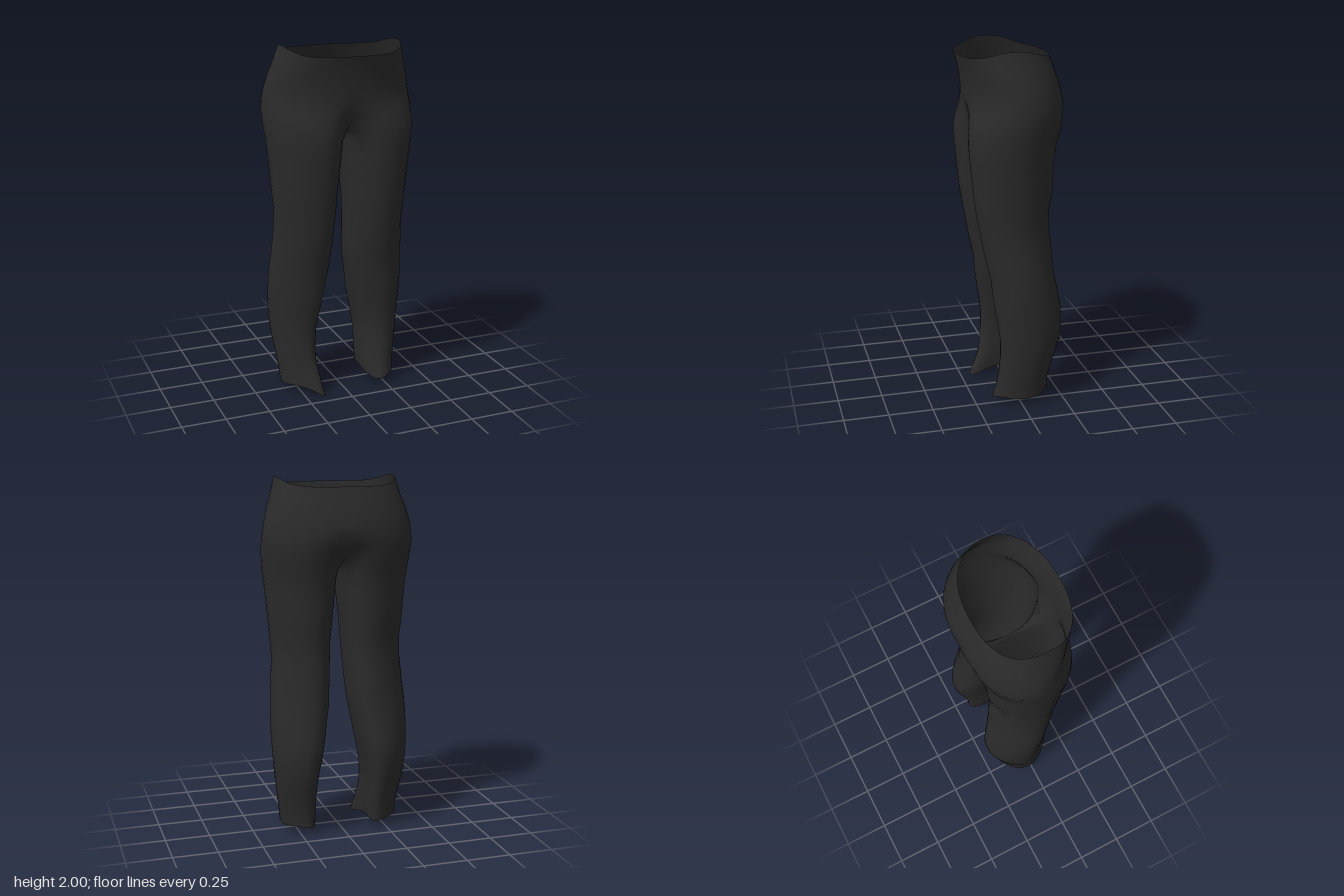
import * as THREE from 'three';
import { mergeVertices } from 'three/addons/utils/BufferGeometryUtils.js';

const OUTER = 24;               // samples from the front seam round the hip to the back seam
const INNER = 12;               // samples along the inside of the leg
const OPEN = 0.87;              // angle at which the leg meets the centre seam

// Each leg: its side, how far the hem dips, and how far its front and back lean inwards
const SIDES = [
  { side: 1, dip: 0.014, front: -0.005, back: 0.035 },
  { side: -1, dip: 0.043, front: 0.05, back: 0.045 },
];

// Hip sections: [y, half width, front z, back z, blend towards leg shape, roundness]
const HIPS = [
  [1.955, 0.335, 0.288, -0.2, 0, 0.85],
  [1.9, 0.362, 0.272, -0.222, 0, 0.88],
  [1.83, 0.39, 0.258, -0.25, 0, 0.94],
  [1.76, 0.41, 0.253, -0.274, 0.03, 1],
  [1.7, 0.42, 0.254, -0.284, 0.13, 1],
  [1.64, 0.425, 0.262, -0.276, 0.4, 1],
  [1.575, 0.421, 0.27, -0.25, 0.85, 1],
];

// Leg sections: [y, inner x, outer x, front z, back z]
const LEGS = [
  [1.49, 0.008, 0.413, 0.271, -0.22],
  [1.4, 0.018, 0.402, 0.265, -0.207],
  [1.3, 0.029, 0.392, 0.255, -0.203],
  [1.2, 0.04, 0.383, 0.245, -0.199],
  [1.1, 0.047, 0.374, 0.232, -0.178],
  [1.0, 0.053, 0.37, 0.213, -0.184],
  [0.9, 0.058, 0.377, 0.195, -0.195],
  [0.82, 0.063, 0.383, 0.178, -0.2],
  [0.74, 0.068, 0.391, 0.158, -0.21],
  [0.65, 0.086, 0.394, 0.15, -0.227],
  [0.55, 0.103, 0.393, 0.137, -0.245],
  [0.48, 0.117, 0.39, 0.124, -0.25],
  [0.38, 0.139, 0.382, 0.113, -0.24],
  [0.29, 0.15, 0.372, 0.113, -0.216],
  [0.2, 0.152, 0.358, 0.12, -0.19],
  [0.12, 0.15, 0.346, 0.128, -0.172],
  [0.05, 0.16, 0.338, 0.138, -0.17],
];

// Point on an oval section; angle 0 is the front, 90 degrees the outside
function ovalPoint(t, y, xi, xo, zf, zb, roundness = 1) {
  const bend = (v) => Math.sign(v) * Math.pow(Math.abs(v), roundness);
  return new THREE.Vector3(
    (xi + xo) / 2 + (xo - xi) / 2 * bend(Math.sin(t)), y,
    (zf + zb) / 2 + (zf - zb) / 2 * bend(Math.cos(t)));
}

// Oval whose front and back lean towards the other leg
function legPoint(t, y, xi, xo, zf, zb, leg) {
  const p = ovalPoint(t, y, xi, xo, zf, zb);
  const c = Math.cos(t);
  p.x -= (c > 0 ? leg.front : leg.back) * c * c;
  return p;
}
const outerAngle = (j) => -OPEN + (j / OUTER) * (Math.PI + 2 * OPEN);
const innerAngle = (j) => Math.PI + OPEN + (j / INNER) * (Math.PI - 2 * OPEN);

// Half ring of the hip, ending on the centre line at front and back
function hipRing([y, x, zf, zb, w, roundness], index, leg) {
  const ring = [];
  for (let j = 0; j <= OUTER; j++) {
    const t = (j / OUTER) * Math.PI;
    const lift = index === 0 ? 0.045 * Math.pow(Math.sin(t), 6) : 0;
    const p = ovalPoint(t, y + lift, -x, x, zf, zb, roundness);
    p.lerp(legPoint(outerAngle(j), y + lift, 0, x, zf, zb, leg), w);
    if (j === 0 || j === OUTER) p.x = 0;
    ring.push(p);
  }
  // Both sides share the same seam on the centre line
  return ring;
}

// Closed ring of a leg; the hem is drawn forward and down at its inner front
function legRing([y, xi, xo, zf, zb], index, leg) {
  const ring = [];
  for (let j = 0; j < OUTER + INNER; j++) {
    const t = j < OUTER ? outerAngle(j) : innerAngle(j - OUTER);
    const p = legPoint(t, y, xi, xo, zf, zb, leg);
    p.x = Math.max(p.x, xi);
    if (index >= LEGS.length - 2) {
      const k = index === LEGS.length - 1 ? 1 : 0.3;
      const pull = leg.dip * k * Math.pow(Math.max(0, Math.cos(t + 0.55)), 3);
      p.add(new THREE.Vector3(-0.6 * pull, -pull, 1.6 * pull));
      if (k === 1) p.y += 0.005 * Math.sin(3 * t);
    }
    ring.push(p);
  }
  ring.push(ring[0].clone());
  return ring;
}

// Add the band of faces between two rings, mirrored for the right side
function addBand(out, upper, lower, side) {
  const put = (...points) => {
    if (side < 0) points.reverse();
    for (const p of points) out.push(p.x * side, p.y, p.z);
  };
  for (let j = 0; j < upper.length - 1; j++) {
    put(upper[j], lower[j], lower[j + 1]);
    put(upper[j], lower[j + 1], upper[j + 1]);
  }
}

export function createModel() {
  const cloth = new THREE.MeshStandardMaterial({ color: 0x2a2a2a, side: THREE.DoubleSide });
  cloth.name = 'charcoal cloth';

  const positions = [];
  for (const leg of SIDES) {
    const hips = HIPS.map((section, i) => hipRing(section, i, leg));

    // Crotch seam closes the lowest hip ring along the centre line
    const [y, x, zf, zb] = HIPS[HIPS.length - 1];
    const crotch = hips[hips.length - 1].slice();
    for (let j = 1; j < INNER; j++) {
      const p = ovalPoint(innerAngle(j), y, 0, x, zf, zb);
      p.x = 0;
      p.y -= 0.06 * Math.sin((j / INNER) * Math.PI);
      crotch.push(p);
    }
    crotch.push(crotch[0].clone());

    const legs = LEGS.map((section, i) => legRing(section, i, leg));
    const rings = [crotch, ...legs];
    for (let i = 0; i < hips.length - 1; i++) addBand(positions, hips[i], hips[i + 1], leg.side);
    for (let i = 0; i < rings.length - 1; i++) addBand(positions, rings[i], rings[i + 1], leg.side);
  }

  // Weld both sides so the cloth shades smoothly across the seams
  let geometry = new THREE.BufferGeometry();
  geometry.setAttribute('position', new THREE.Float32BufferAttribute(positions, 3));
  geometry = mergeVertices(geometry, 1e-4);
  geometry.computeVertexNormals();

  const trousers = new THREE.Mesh(geometry, cloth);
  trousers.name = 'trousers';
  const model = new THREE.Group();
  model.name = 'clothing';
  model.add(trousers);
  return model;
}
